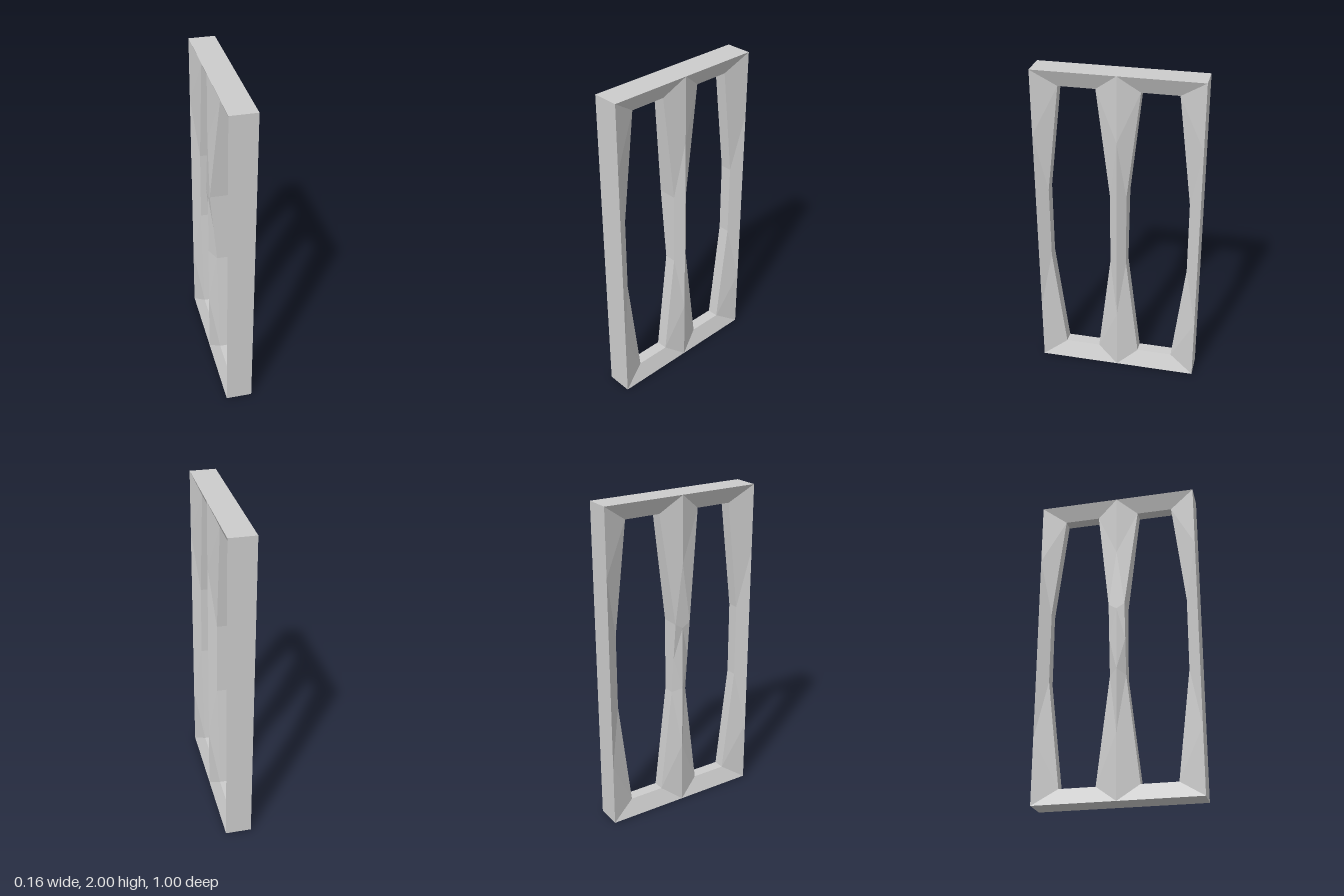
import * as THREE from 'three';

const EDGE = 0.08;   // half thickness along the outer rim and ridge
const LIP = 0.036;   // half thickness at the edge of the openings

// Key points of one quarter of the frame: [z, y above or below the middle, half thickness]
const P = {
  corner: [0.5, 1, EDGE], top1: [0.3, 1, EDGE], top2: [0.13, 1, EDGE], topMid: [0, 1, EDGE],
  side1: [0.5, 0.6, EDGE], side2: [0.5, 0.2, EDGE], sideMid: [0.5, 0, EDGE],
  ridge1: [0, 0.6, EDGE], ridge2: [0, 0.2, EDGE], ridgeMid: [0, 0, EDGE],
  holeOut: [0.35, 0.9, LIP], holeIn: [0.13, 0.9, LIP],
  waistOut: [0.43, 0.23, LIP], waistOutMid: [0.43, 0, LIP],
  waistIn: [0.05, 0.23, LIP], waistInMid: [0.05, 0, LIP],
};

// Mirrored position; the bar is thicker on one face at its upper waist
function point(name, sx, sy, sz) {
  let [z, y, x] = P[name];
  if (sx < 0 && name === 'waistIn' && sy > 0) x = EDGE;
  if (sx < 0 && name === 'waistInMid') x = (EDGE + LIP) / 2;
  return [sx * x, 1 + sy * y, sz * z];
}

// Mirrors face patches over all three axes and walls over height and depth
function buildPart(name, patches, walls) {
  const positions = [];
  const quad = (corners, flip) => {
    const [a, b, c, d] = flip ? [corners[0], corners[3], corners[2], corners[1]] : corners;
    positions.push(...a, ...b, ...c, ...a, ...c, ...d);
  };
  for (const sy of [1, -1]) {
    for (const sz of [1, -1]) {
      for (const sx of [1, -1]) {
        for (const patch of patches) {
          quad(patch.map((n) => point(n, sx, sy, sz)), sx * sy * sz < 0);
        }
      }
      for (const [a, b] of walls) {
        quad([point(a, 1, sy, sz), point(a, -1, sy, sz),
          point(b, -1, sy, sz), point(b, 1, sy, sz)], sy * sz < 0);
      }
    }
  }
  const geometry = new THREE.BufferGeometry();
  geometry.setAttribute('position', new THREE.Float32BufferAttribute(positions, 3));
  geometry.computeVertexNormals();
  const material = new THREE.MeshStandardMaterial({ color: 0xcccccc, flatShading: true });
  const mesh = new THREE.Mesh(geometry, material);
  mesh.name = name;
  return mesh;
}

export function createModel() {
  const model = new THREE.Group();
  model.name = 'windowFrame';

  // Outer rim with bevelled faces sloping into the two openings
  model.add(buildPart('outerFrame', [
    ['corner', 'side1', 'holeOut', 'top1'],
    ['top1', 'holeOut', 'holeIn', 'top2'],
    ['side1', 'side2', 'waistOut', 'holeOut'],
    ['side2', 'sideMid', 'waistOutMid', 'waistOut'],
  ], [
    ['topMid', 'corner'], ['corner', 'sideMid'],
    ['waistOutMid', 'waistOut'], ['waistOut', 'holeOut'], ['holeOut', 'holeIn'],
  ]));

  // Central bar, ridged and narrow at the waist
  model.add(buildPart('centreBar', [
    ['topMid', 'top2', 'holeIn', 'ridge1'],
    ['ridge1', 'holeIn', 'waistIn', 'ridge2'],
    ['ridge2', 'waistIn', 'waistInMid', 'ridgeMid'],
  ], [
    ['holeIn', 'waistIn'], ['waistIn', 'waistInMid'],
  ]));

  return model;
}
